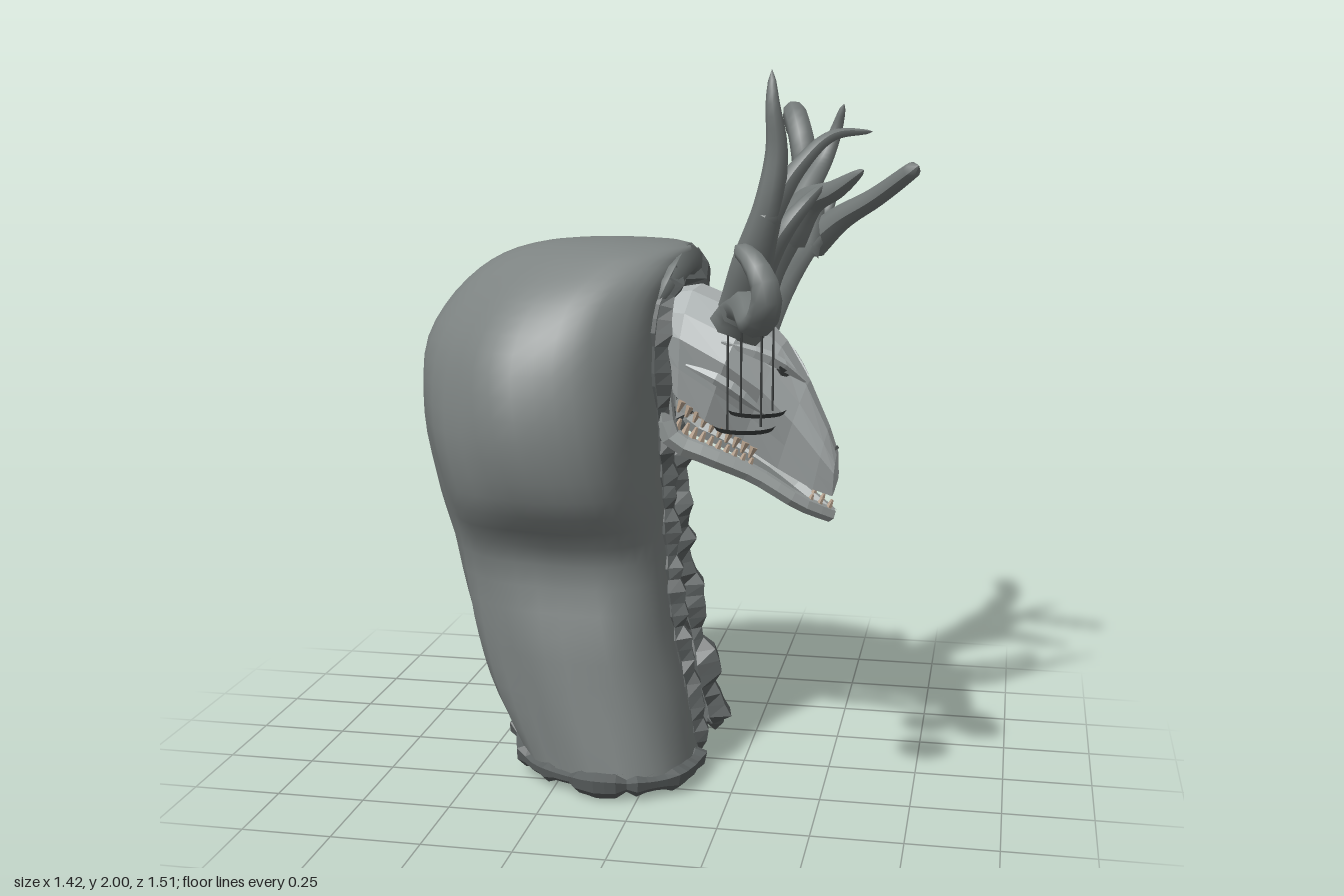
import * as THREE from 'three';

const V = (x, y, z) => new THREE.Vector3(x, y, z);
const paint = (color, options = {}) => new THREE.MeshStandardMaterial({ color, ...options });
const clothMat = paint(0x7c8281, { side: THREE.DoubleSide });
const rimMat = paint(0x6c7271);
const trimMat = paint(0x5c6161, { flatShading: true });
const antlerMat = paint(0x747a79);
const boneMat = paint(0xb2b8b8, { flatShading: true });
const jawMat = paint(0x9aa09f, { flatShading: true });
const toothMat = paint(0xb5a08c, { flatShading: true });
const socketMat = paint(0x4a4e4e, { flatShading: true });
const plateMat = paint(0x3a3d3d);
const CZ = -0.025; // the head sits slightly off centre

let seed = 7;
const rnd = () => (seed = (seed * 16807) % 2147483647) / 2147483647;

function add(parent, name, geometry, material) {
  const mesh = new THREE.Mesh(geometry, material);
  mesh.name = name;
  parent.add(mesh);
  return mesh;
}

// Tube whose radius follows a function of its length, optionally widened along x
function limb(points, radius, segments, sides, widen = 1) {
  const curve = new THREE.CatmullRomCurve3(points.map(p => (p.isVector3 ? p : V(...p))));
  const g = new THREE.TubeGeometry(curve, segments, 1, sides, false);
  const pos = g.attributes.position, v = V(0, 0, 0);
  for (let i = 0; i <= segments; i++) {
    const c = curve.getPointAt(i / segments);
    for (let j = 0; j <= sides; j++) {
      const k = i * (sides + 1) + j;
      v.fromBufferAttribute(pos, k).sub(c).multiplyScalar(radius(i / segments, j % sides));
      pos.setXYZ(k, c.x + v.x * widen, c.y + v.y, c.z + v.z);
    }
  }
  g.computeVertexNormals();
  return g;
}

// Grid surface from a function of u (around) and v (along)
function grid(nu, nv, fn) {
  const p = [], idx = [];
  for (let j = 0; j <= nv; j++) for (let i = 0; i <= nu; i++) p.push(...fn(i / nu, j / nv).toArray());
  for (let j = 0; j < nv; j++) for (let i = 0; i < nu; i++) {
    const a = j * (nu + 1) + i, c = a + nu + 1;
    idx.push(a, c, a + 1, a + 1, c, c + 1);
  }
  const g = new THREE.BufferGeometry();
  g.setAttribute('position', new THREE.Float32BufferAttribute(p, 3));
  g.setIndex(idx);
  g.computeVertexNormals();
  return g;
}

// Cloak levels: y, back x, front x, min z, max z, opening min z, opening max z
const levels = [
  [0.04, -0.41, 0.13, -0.44, 0.35, -0.17, 0.06],
  [0.22, -0.50, 0.10, -0.41, 0.33, -0.16, 0.06],
  [0.42, -0.56, 0.06, -0.38, 0.31, -0.15, 0.06],
  [0.65, -0.62, 0.04, -0.33, 0.28, -0.14, 0.06],
  [0.83, -0.66, 0.03, -0.44, 0.41, -0.15, 0.07],
  [1.02, -0.70, 0.03, -0.50, 0.45, -0.18, 0.11],
  [1.22, -0.69, 0.04, -0.47, 0.41, -0.22, 0.16],
  [1.37, -0.60, 0.06, -0.38, 0.32, -0.20, 0.15],
  [1.47, -0.48, 0.09, -0.25, 0.21, -0.12, 0.08],
  [1.52, -0.34, 0.07, -0.14, 0.12, -0.01, -0.01],
  [1.535, -0.15, -0.15, -0.01, -0.01, -0.01, -0.01],
];
function cloakPoint(u, v) {
  const t = v * (levels.length - 1), i = Math.min(Math.floor(t), levels.length - 2), f = t - i;
  const at = k => levels[Math.max(0, Math.min(levels.length - 1, k))];
  const [y, xb, xf, z0, z1, g0, g1] = levels[0].map((_, c) => {
    const [a, b, d, e] = [at(i - 1)[c], at(i)[c], at(i + 1)[c], at(i + 2)[c]];
    return b + 0.5 * f * (d - a + f * (2 * a - 5 * b + 4 * d - e + f * (3 * (b - d) + e - a)));
  });
  const p = 0.75 + 0.25 * Math.min(1, y / 0.9); // squarer towards the hem
  const pw = (n, e) => Math.sign(n) * Math.abs(n) ** e;
  const cz = (z0 + z1) / 2, rz = (z1 - z0) / 2, rx = (xf - xb) / 2;
  const gap = z => Math.asin(pw(Math.max(-0.9, Math.min(0.9, (z - cz) / (rz + 1e-6))), 1 / p));
  const a = THREE.MathUtils.lerp(gap(g1), 2 * Math.PI + gap(g0), u);
  const lump = 1 + Math.sin(Math.PI * u) * (0.022 * Math.sin(5 * a + 4 * y) + 0.018 * Math.sin(9 * a - 8 * y));
  const rise = 0.1 * Math.max(0, -Math.cos(a)) ** 8 * Math.max(0, 1 - y / 0.6);
  const forward = 0.22 * rx * Math.sin(a) ** 2; // widest part lies towards the front
  return V((xb + xf) / 2 + rx * pw(Math.cos(a), p) * lump + forward, y + rise, cz + rz * pw(Math.sin(a), p) * lump);
}

function makeCloak() {
  const g = new THREE.Group();
  g.name = 'cloak';
  add(g, 'cloakCloth', grid(36, 34, cloakPoint), clothMat);
  // Ragged trim along the front edges and the hem
  const trim = (name, n, r, fn) => {
    const pts = Array.from({ length: n + 1 }, (_, i) => fn(i / n));
    let ring = 1;
    add(g, name, limb(pts, (t, j) => {
      if (j === 0) ring = 0.55 + 0.8 * rnd();
      return t === 0 || t === 1 ? 0 : r * ring * (j % 2 ? 1.15 : 0.9);
    }, n * 3, 6), trimMat);
  };
  trim('leftEdgeTrim', 14, 0.036, t => cloakPoint(0, t * 0.8));
  trim('rightEdgeTrim', 14, 0.052, t => cloakPoint(1, t * 0.8));
  trim('hemTrim', 24, 0.028, t => cloakPoint(t, 0));
  add(g, 'hoodRim', limb([[0, 1.32, 0.17], [0.05, 1.43, 0.13], [0.06, 1.475, -0.02], [0.05, 1.43, -0.17], [0, 1.32, -0.22]],
    t => 0.005 + 0.043 * Math.sin(Math.PI * t), 16, 8), rimMat);
  return g;
}

function makeHead() {
  const g = new THREE.Group();
  g.name = 'head';
  // Skull sections: top x, top y, bottom x, bottom y, half width
  const sections = [
    [0.0, 1.28, 0.0, 1.27, 0.01], [0.0, 1.38, 0.0, 1.15, 0.13], [0.1, 1.395, 0.06, 1.09, 0.19],
    [0.26, 1.33, 0.14, 1.03, 0.212], [0.35, 1.24, 0.24, 0.96, 0.15], [0.42, 1.13, 0.34, 0.89, 0.105],
    [0.48, 1.0, 0.44, 0.83, 0.075], [0.505, 0.93, 0.495, 0.81, 0.055], [0.51, 0.87, 0.51, 0.86, 0.005]];
  const side = [[0, 0.45], [0.18, 0.88], [0.4, 1], [0.7, 0.75], [1, 0.5]];
  const ring = [...side.map(([t, w]) => [t, -w]), ...side.slice().reverse(), [0, -0.45]];
  add(g, 'skull', grid(ring.length - 1, sections.length - 1, (u, v) => {
    const [tx, ty, bx, by, w] = sections[Math.round(v * (sections.length - 1))];
    const [t, k] = ring[Math.round(u * (ring.length - 1))];
    return V(tx + (bx - tx) * t, ty + (by - ty) * t, CZ + w * k);
  }), boneMat);

  for (const s of [1, -1]) {
    const z = d => CZ + s * d;
    // Slanted eye sockets with brow and cheek ridges
    const eye = add(g, 'eyeSocket', new THREE.OctahedronGeometry(1), socketMat);
    eye.scale.set(0.028, 0.02, 0.052);
    eye.position.set(0.355, 1.17, z(0.09));
    eye.rotation.x = -s * 0.55;
    add(g, 'browRidge', limb([[0.2, 1.27, z(0.2)], [0.33, 1.215, z(0.13)], [0.415, 1.14, z(0.045)]],
      t => 0.004 + 0.016 * Math.sin(Math.PI * t), 6, 5), boneMat);
    add(g, 'cheekRidge', limb([[0.1, 1.2, z(0.185)], [0.2, 1.16, z(0.195)], [0.31, 1.06, z(0.12)]],
      t => 0.004 + 0.016 * Math.sin(Math.PI * t), 6, 5), boneMat);
    // Lower jaw
    const jaw = [[0.02, 1.13, z(0.14)], [0.05, 0.99, z(0.14)], [0.16, 0.935, z(0.125)], [0.28, 0.88, z(0.095)],
      [0.41, 0.795, z(0.06)], [0.49, 0.75, z(0.0)]];
    add(g, 'lowerJaw', limb(jaw, t => 0.034 - 0.012 * t, 14, 6), jawMat);
    // Teeth: cheek rows and a few at the tip
    const tooth = (x, y, d, up, size) => {
      const m = add(g, 'tooth', new THREE.CylinderGeometry(size * 0.2, size * 0.5, size * 1.4, 5), toothMat);
      m.position.set(x, y, z(d));
      m.rotation.z = up ? -0.4 : Math.PI - 0.4;
    };
    for (let i = 0; i < 10; i++) {
      const t = i / 9;
      tooth(0.07 + 0.2 * t, 1.068 - 0.13 * t, 0.105 - 0.03 * t, false, 0.024);
      tooth(0.07 + 0.2 * t, 1.022 - 0.11 * t, 0.128 - 0.03 * t, true, 0.024);
    }
    for (let i = 0; i < 3; i++) tooth(0.485 - 0.025 * i, 0.775 + 0.013 * i, 0.012 + 0.015 * i, true, 0.024);
  }
  const nose = add(g, 'nostrilSlit', new THREE.OctahedronGeometry(1), socketMat);
  nose.scale.set(0.008, 0.006, 0.035);
  nose.position.set(0.502, 0.945, CZ);
  return g;
}

// Antler tines: base radius, tip share of it, then path points
const leftTines = {
  mainBeam: [0.066, 0.25, [0.22, 1.28, 0.08], [0.27, 1.36, 0.17], [0.31, 1.385, 0.35], [0.35, 1.375, 0.56], [0.39, 1.42, 0.7], [0.4, 1.48, 0.735], [0.36, 1.55, 0.7], [0.31, 1.58, 0.64]],
  tallTine: [0.08, 0.05, [0.27, 1.36, 0.16], [0.3, 1.5, 0.27], [0.35, 1.66, 0.335], [0.37, 1.8, 0.35], [0.36, 1.92, 0.365], [0.355, 2.0, 0.345]],
  forwardTine: [0.04, 0.08, [0.34, 1.62, 0.33], [0.42, 1.75, 0.305], [0.5, 1.83, 0.25], [0.6, 1.84, 0.18]],
  browTine: [0.066, 0.08, [0.24, 1.33, 0.08], [0.31, 1.48, 0.135], [0.37, 1.58, 0.155], [0.42, 1.645, 0.13], [0.46, 1.69, 0.07]],
};
const rightTines = {
  mainBeam: [0.08, 0.08, [0.22, 1.28, -0.14], [0.27, 1.37, -0.2], [0.32, 1.44, -0.34], [0.37, 1.5, -0.47], [0.39, 1.5, -0.6], [0.4, 1.465, -0.755]],
  beamSpike: [0.038, 0.08, [0.385, 1.5, -0.57], [0.4, 1.56, -0.64], [0.43, 1.645, -0.67]],
  forwardTine: [0.052, 0.4, [0.37, 1.48, -0.5], [0.46, 1.56, -0.44], [0.57, 1.63, -0.36], [0.7, 1.73, -0.25]],
  curledTine: [0.062, 0.5, [0.34, 1.45, -0.4], [0.36, 1.56, -0.48], [0.35, 1.68, -0.51], [0.33, 1.79, -0.53], [0.3, 1.865, -0.6], [0.29, 1.855, -0.665], [0.3, 1.81, -0.675], [0.32, 1.805, -0.63]],
  trunk: [0.075, 0.75, [0.23, 1.3, -0.15], [0.27, 1.42, -0.15], [0.33, 1.54, -0.17], [0.37, 1.63, -0.19]],
  tallTine: [0.06, 0.08, [0.34, 1.55, -0.2], [0.38, 1.66, -0.28], [0.42, 1.74, -0.345], [0.45, 1.82, -0.365], [0.475, 1.9, -0.34]],
  browTine: [0.07, 0.06, [0.33, 1.54, -0.18], [0.4, 1.63, -0.15], [0.48, 1.67, -0.08], [0.565, 1.73, 0.0]],
};
function makeAntler(name, tines) {
  const g = new THREE.Group();
  g.name = name;
  for (const [part, [r, tip, ...pts]] of Object.entries(tines)) {
    const radius = t => (t === 1 ? 0.001 : r * (tip + (1 - tip) * (1 - t) ** 0.75) * (1 - 0.2 * Math.sin(Math.PI * t)));
    add(g, part, limb(pts, radius, 24, 8, part === 'mainBeam' ? 1.35 : 1), antlerMat);
  }
  return g;
}

// Small shallow pans hung on cords from the left antler
function makePendant(x, z) {
  const g = new THREE.Group();
  g.name = 'hangingPan';
  const base = add(g, 'panBase', new THREE.CircleGeometry(0.07, 16), plateMat);
  base.rotation.x = Math.PI / 2;
  base.position.set(x, 1.124, z);
  add(g, 'panRim', new THREE.CylinderGeometry(0.078, 0.07, 0.012, 16, 1, true), plateMat).position.set(x, 1.13, z);
  for (const s of [1, -1])
    add(g, 'cord', new THREE.CylinderGeometry(0.003, 0.003, 0.24, 5), plateMat).position.set(x - s * 0.036, 1.245, z + s * 0.04);
  return g;
}

export function createModel() {
  const model = new THREE.Group();
  model.name = 'antleredSkullFigure';
  model.add(makeCloak(), makeHead(), makeAntler('leftAntler', leftTines), makeAntler('rightAntler', rightTines));
  for (const z of [0.43, 0.65]) model.add(makePendant(0.337, z));
  return model;
}
